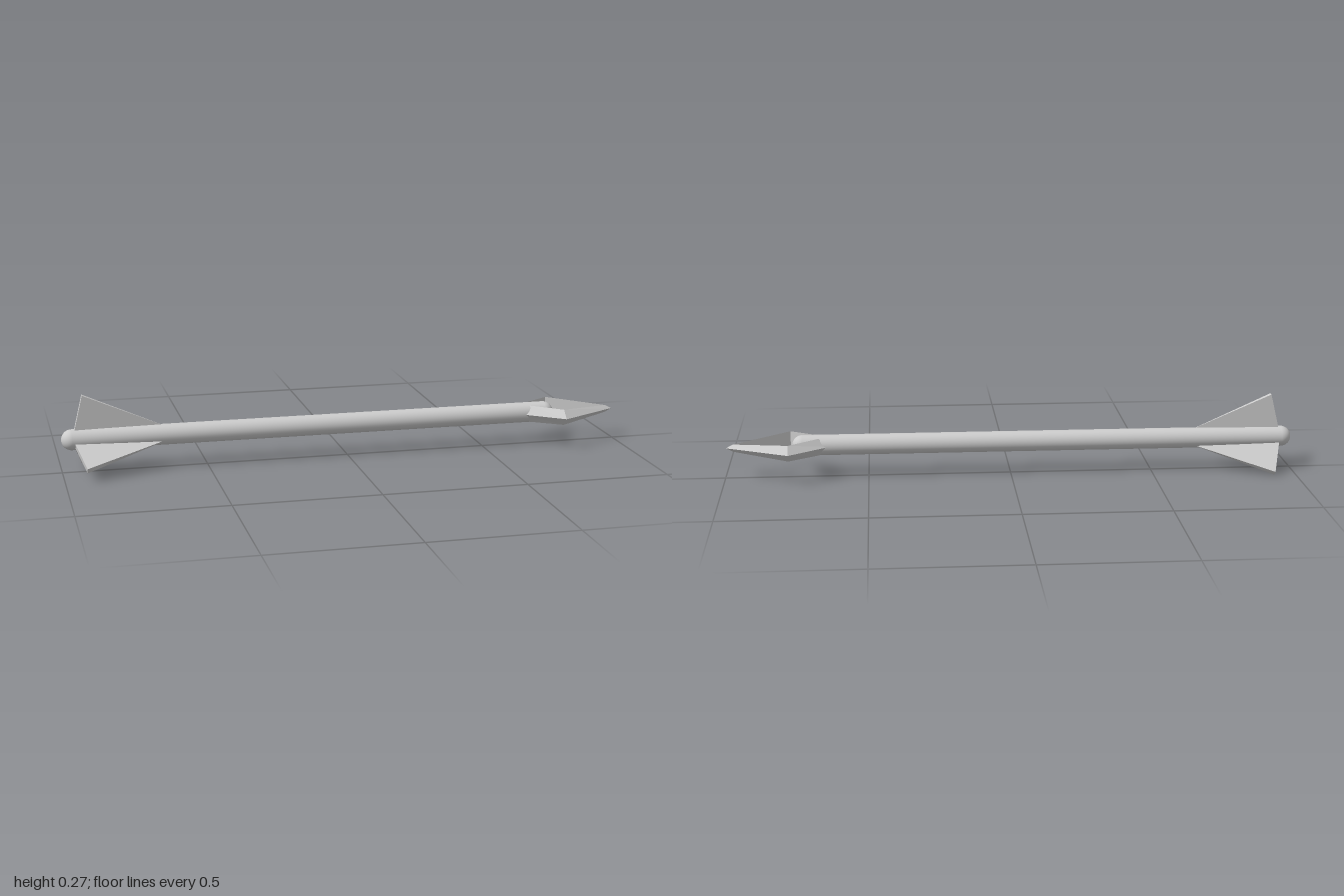
import * as THREE from 'three';

const grey = { color: 0xcccccc };
const AXIS_Y = 0.113, AXIS_Z = -0.003, RADIUS = 0.036;

// Triangular vane, thick along the rear edge and thinning to the front point
function finGeometry() {
  const shape = new THREE.Shape();
  shape.moveTo(-0.955, 0.03);
  shape.lineTo(-0.645, 0.03);
  shape.lineTo(-0.925, 0.154);
  shape.closePath();
  const geo = new THREE.ExtrudeGeometry(shape, { depth: 0.02, bevelEnabled: false });
  geo.translate(0, 0, -0.01);
  const p = geo.attributes.position;
  for (let i = 0; i < p.count; i++) {
    const taper = THREE.MathUtils.clamp((-0.645 - p.getX(i)) / 0.28, 0.08, 1);
    p.setZ(i, p.getZ(i) * taper);
  }
  geo.computeVertexNormals();
  return geo;
}

// Open diamond frame: triangular sections with the ridge facing outwards
function headGeometry() {
  // ridge x, ridge z, inner x, inner z, half height, centre y
  const half = [
    [0.635, 0.024, 0.672, 0.024, 0.030, 0.112],
    [0.775, 0.128, 0.775, 0.099, 0.028, 0.111],
    [0.995, 0, 0.970, 0, 0.013, 0.108],
  ];
  const mirrored = half.slice(0, 2).reverse().map(([a, b, c, d, h, y]) => [a, -b, c, -d, h, y]);
  const sections = [...half, ...mirrored];
  const pos = [], index = [];
  for (const [rx, rz, ix, iz, h, y] of sections) {
    pos.push(rx, y, rz, ix, y + h, iz, ix, y - h, iz);
  }
  for (let s = 0; s < sections.length - 1; s++) {
    for (let k = 0; k < 3; k++) {
      const a = s * 3 + k, b = s * 3 + (k + 1) % 3;
      index.push(a, a + 3, b, b, a + 3, b + 3);
    }
  }
  const e = (sections.length - 1) * 3;
  index.push(0, 1, 2, e, e + 2, e + 1);
  const geo = new THREE.BufferGeometry();
  geo.setAttribute('position', new THREE.Float32BufferAttribute(pos, 3));
  geo.setIndex(index);
  const flat = geo.toNonIndexed();
  flat.computeVertexNormals();
  return flat;
}

export function createModel() {
  const group = new THREE.Group();
  group.name = 'arrow';
  const smooth = new THREE.MeshStandardMaterial(grey);
  const faceted = new THREE.MeshStandardMaterial({ ...grey, flatShading: true, side: THREE.DoubleSide });

  // Shaft with rounded ends
  const shaft = new THREE.Mesh(new THREE.CapsuleGeometry(RADIUS, 1.765 - 2 * RADIUS, 10, 32), smooth);
  shaft.name = 'shaft';
  shaft.rotation.z = Math.PI / 2;
  shaft.position.set(-0.1175, AXIS_Y, AXIS_Z);
  group.add(shaft);

  // Three fins, unevenly spaced around the shaft
  const fin = finGeometry();
  [['topFin', 0], ['frontFin', 120], ['backFin', -134]].forEach(([name, angle]) => {
    const mesh = new THREE.Mesh(fin, faceted);
    mesh.name = name;
    mesh.rotation.x = THREE.MathUtils.degToRad(angle);
    mesh.position.set(0, AXIS_Y, AXIS_Z);
    group.add(mesh);
  });

  // Arrowhead
  const head = new THREE.Mesh(headGeometry(), faceted);
  head.name = 'arrowhead';
  head.position.z = -0.005;
  group.add(head);

  return group;
}
